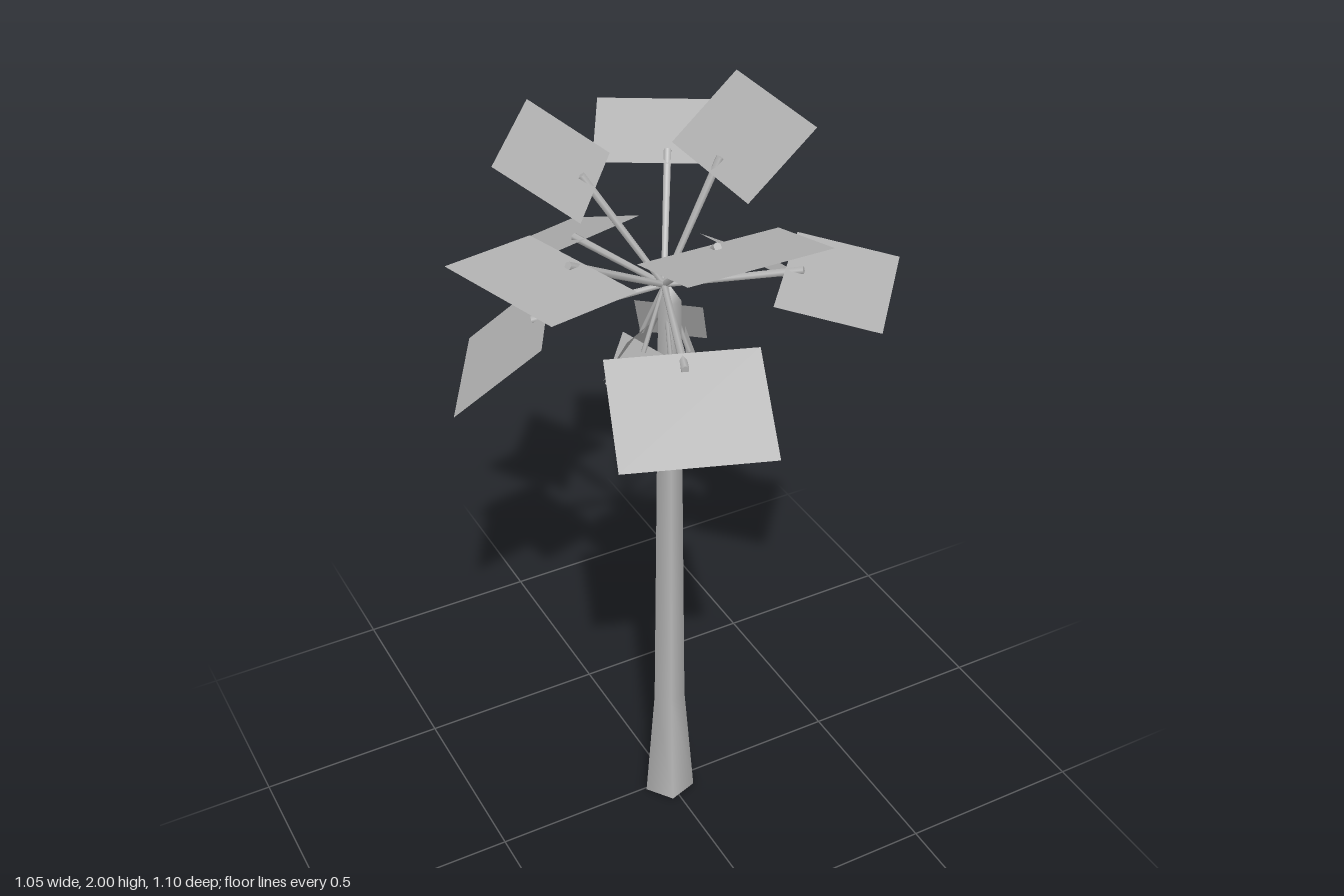
import * as THREE from 'three';

const grey = new THREE.MeshStandardMaterial({ color: 0xb4b4b4, side: THREE.DoubleSide });
grey.name = 'grey';

const CROWN = new THREE.Vector3(-0.01, 1.6, 0);

// One frond: a stalk leaving the crown and a flat rectangular blade at its end.
// azimuth is in degrees from +z towards +x; heights are absolute.
function frond(name, azimuth, outerRadius, run, innerY, outerY, width, stalkRadius) {
  const group = new THREE.Group();
  group.name = name;
  group.position.copy(CROWN);
  group.rotation.y = THREE.MathUtils.degToRad(azimuth);

  const rise = outerY - innerY;
  const innerRadius = outerRadius - run;
  const bladeGeo = new THREE.PlaneGeometry(width, Math.hypot(run, rise));
  bladeGeo.rotateX(-Math.PI / 2 - Math.atan2(rise, run));
  const blade = new THREE.Mesh(bladeGeo, grey);
  blade.name = 'blade';
  blade.position.set(0, (innerY + outerY) / 2 - CROWN.y, outerRadius - run / 2);
  group.add(blade);

  // the stalk overlaps the inner end of the blade
  const r = innerRadius + run * 0.17;
  const dy = innerY + rise * 0.17 + 0.006 - CROWN.y;
  const length = Math.hypot(r, dy);
  const stalkGeo = new THREE.CylinderGeometry(stalkRadius, stalkRadius * 0.75, length, 6);
  stalkGeo.translate(0, length / 2, 0);
  stalkGeo.rotateX(Math.atan2(r, dy));
  const stalk = new THREE.Mesh(stalkGeo, grey);
  stalk.name = 'stalk';
  group.add(stalk);
  return group;
}

export function createModel() {
  const model = new THREE.Group();
  model.name = 'palmTree';

  // five-sided trunk with a flared foot
  const profile = [[0.07, 0], [0.043, 0.34], [0.036, 0.9], [0.031, 1.3], [0.029, 1.56], [0.001, 1.6]]
    .map(([x, y]) => new THREE.Vector2(x, y));
  const trunk = new THREE.Mesh(new THREE.LatheGeometry(profile, 5, -Math.PI / 2), grey);
  trunk.name = 'trunk';
  trunk.position.z = 0.006;
  model.add(trunk);

  const baseGeo = new THREE.CircleGeometry(0.07, 5, Math.PI);
  baseGeo.rotateX(Math.PI / 2);
  const base = new THREE.Mesh(baseGeo, grey);
  base.name = 'trunkBase';
  base.position.z = 0.006;
  model.add(base);

  // large fronds: azimuth, outer radius, run, inner height, outer height
  const fronds = [
    [0, 0.43, 0.224, 1.8, 1.857],
    [90, 0.282, 0.168, 1.857, 2.0],
    [150, 0.422, 0.208, 1.8, 1.868],
    [-127, 0.344, 0.19, 1.835, 1.955],
    [-165, 0.523, 0.25, 1.61, 1.508],
    [-119, 0.482, 0.21, 1.528, 1.344],
    [-74, 0.487, 0.24, 1.752, 1.767],
    [-19.5, 0.519, 0.25, 1.58, 1.45],
    [50, 0.52, 0.24, 1.675, 1.637],
    [104, 0.505, 0.23, 1.563, 1.417],
  ];
  for (const f of fronds) model.add(frond('frond', ...f, 0.349, 0.01));

  // small withered fronds hanging round the top of the trunk
  const hanging = [
    [-8, 0.105, 0.065, 1.42, 1.28],
    [62, 0.1, 0.05, 1.44, 1.29],
    [140, 0.11, 0.06, 1.52, 1.4],
    [-150, 0.12, 0.07, 1.47, 1.34],
    [-75, 0.115, 0.06, 1.46, 1.34],
  ];
  for (const f of hanging) model.add(frond('hangingFrond', ...f, 0.165, 0.006));

  return model;
}
